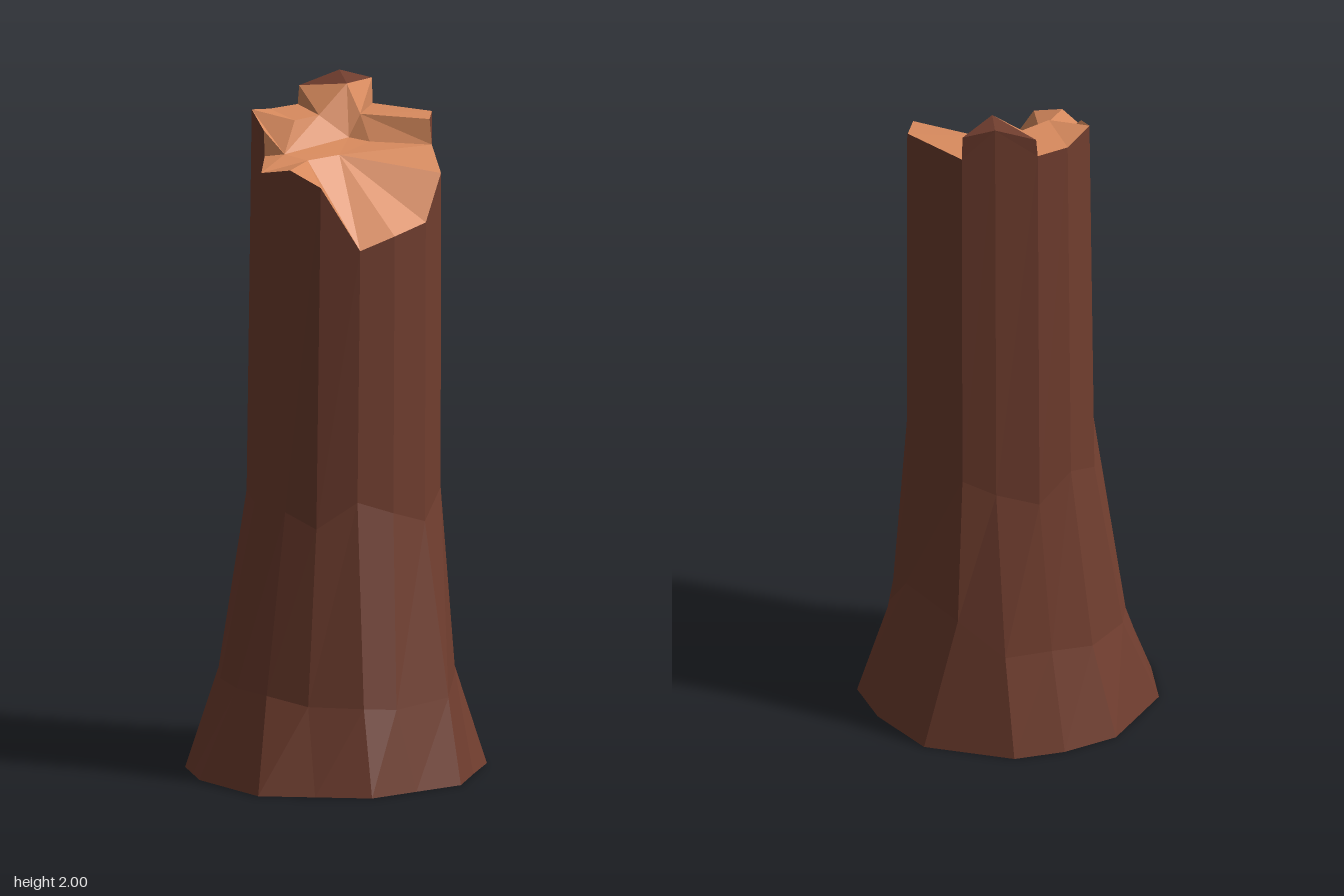
import * as THREE from 'three';

// Trunk columns, clockwise from the back: foot, root flare and broken rim
const foot = [[0.01, -0.41], [0.16, -0.39], [0.37, -0.22], [0.42, 0], [0.41, 0.17], [0.305, 0.275], [0.2, 0.385], [0.045, 0.397],
  [-0.11, 0.41], [-0.245, 0.315], [-0.38, 0.22], [-0.42, -0.05], [-0.395, -0.135], [-0.37, -0.22], [-0.16, -0.39]];
const flare = [[0.02, 0.3, -0.34], [0.16, 0.3, -0.325], [0.27, 0.4, -0.235], [0.33, 0.42, 0], [0.325, 0.3, 0.125], [0.27, 0.3, 0.23],
  [0.19, 0.25, 0.33], [0, 0.24, 0.36], [-0.1, 0.25, 0.345], [-0.225, 0.25, 0.24], [-0.3, 0.27, 0.13], [-0.325, 0.27, 0],
  [-0.3, 0.27, -0.14], [-0.25, 0.28, -0.235], [-0.115, 0.28, -0.325]];
const rim = [[0.035, 1.905, -0.273], [0.155, 2, -0.24], [0.24, 1.9, -0.195], [0.325, 1.905, 0], [0.27, 1.83, 0.095], [0.24, 1.77, 0.2],
  [0.155, 1.645, 0.26], [0.04, 1.62, 0.28], [-0.065, 1.585, 0.263], [-0.16, 1.77, 0.2], [-0.21, 1.81, 0.11], [-0.243, 1.785, 0],
  [-0.18, 1.81, -0.09], [-0.16, 1.925, -0.2], [-0.065, 1.905, -0.26]];

// Raised corners of the splintered rim
const spikeBack = [0.04, 1.96, -0.273], spikeSide = [0.24, 1.975, -0.2];
const ledgeTip = [0.277, 1.9, 0.07], spurTip = [-0.18, 1.885, -0.095];

// Faceted mesh from a list of triangles
function facetMesh(name, triangles, color) {
  const geometry = new THREE.BufferGeometry();
  geometry.setAttribute('position', new THREE.Float32BufferAttribute(triangles.flat(2), 3));
  geometry.computeVertexNormals();
  const mesh = new THREE.Mesh(geometry, new THREE.MeshStandardMaterial({ color, flatShading: true }));
  mesh.name = name;
  return mesh;
}

// Splits a polygon into a fan of triangles that all face upward
function upwardFan(...points) {
  const out = [];
  for (let i = 1; i < points.length - 1; i++) {
    const [a, b, c] = [points[0], points[i], points[i + 1]];
    const ny = (b[2] - a[2]) * (c[0] - a[0]) - (b[0] - a[0]) * (c[2] - a[2]);
    out.push(ny >= 0 ? [a, b, c] : [a, c, b]);
  }
  return out;
}

function barkTriangles() {
  const ground = foot.map(([x, z]) => [x, 0, z]);
  const waist = rim.map(([x, , z], i) => [x * (x < 0 ? 1.07 : 1.01), 0.76 + 0.04 * (i % 3), z * (z < 0 ? 1.05 : 0.97)]);
  const rings = [ground, flare, waist, rim];
  const out = [];
  for (let r = 0; r < rings.length - 1; r++) {
    for (let i = 0; i < foot.length; i++) {
      const j = (i + 1) % foot.length;
      const [a, b, c, d] = [rings[r][i], rings[r + 1][i], rings[r + 1][j], rings[r][j]];
      out.push([a, b, d], [b, c, d]);
    }
  }
  // Bark on the raised splinters
  out.push([rim[0], spikeBack, rim[1]], [rim[1], spikeSide, rim[2]],
    [rim[3], ledgeTip, rim[4]], [rim[12], spurTip, rim[13]]);
  // Underside
  ground.forEach((p, i) => out.push([[0, 0, 0], p, ground[(i + 1) % ground.length]]));
  return out;
}

export function createModel() {
  const group = new THREE.Group();
  group.name = 'brokenTrunk';

  // Inner corners of the break
  const peak = [0.115, 1.985, -0.128], ledge = [0.138, 1.9, -0.09];
  const wallFoot = [0.1, 1.835, -0.09], stepFoot = [0.135, 1.83, -0.03];
  const spurFoot = [-0.14, 1.82, -0.045], shelfLeft = [-0.08, 1.905, -0.09], shelfRight = [0.015, 1.905, -0.115];
  const lipLeft = [-0.1, 1.81, 0.02], lipRight = [0.005, 1.815, 0.02];
  const t = rim;

  const wood = [
    // sides of the tall spike
    [shelfRight, t[0], spikeBack, peak], [ledge, peak, spikeSide, t[2]],
    // back shelf and spur
    [shelfLeft, t[13], t[14], t[0], shelfRight], [t[13], shelfLeft, spurFoot],
    [spurTip, t[13], spurFoot], [t[12], spurTip, spurFoot],
    // wall below the shelf and spike
    [spurFoot, shelfLeft, shelfRight, wallFoot], [shelfRight, peak, wallFoot],
    [peak, ledge, wallFoot], [ledge, stepFoot, wallFoot],
    // side ledge and its step
    [ledge, t[2], t[3], ledgeTip], [ledge, ledgeTip, t[4], stepFoot],
    // floor
    [t[11], t[12], spurFoot, lipLeft, t[10]], [spurFoot, wallFoot, lipRight, lipLeft],
    [wallFoot, stepFoot, lipRight], [stepFoot, t[4], lipRight],
    // front scoop
    [lipLeft, t[10], t[9], t[8]], [lipLeft, lipRight, t[8]], [lipRight, t[4], t[5], t[6], t[7], t[8]],
  ].flatMap((face) => upwardFan(...face));

  const barkColor = 0x713e2f;
  group.add(facetMesh('bark', barkTriangles(), barkColor));
  group.add(facetMesh('spikeCap', upwardFan(peak, spikeBack, t[1], spikeSide), barkColor));
  group.add(facetMesh('splinteredWood', wood, 0xd98b5e));
  return group;
}
